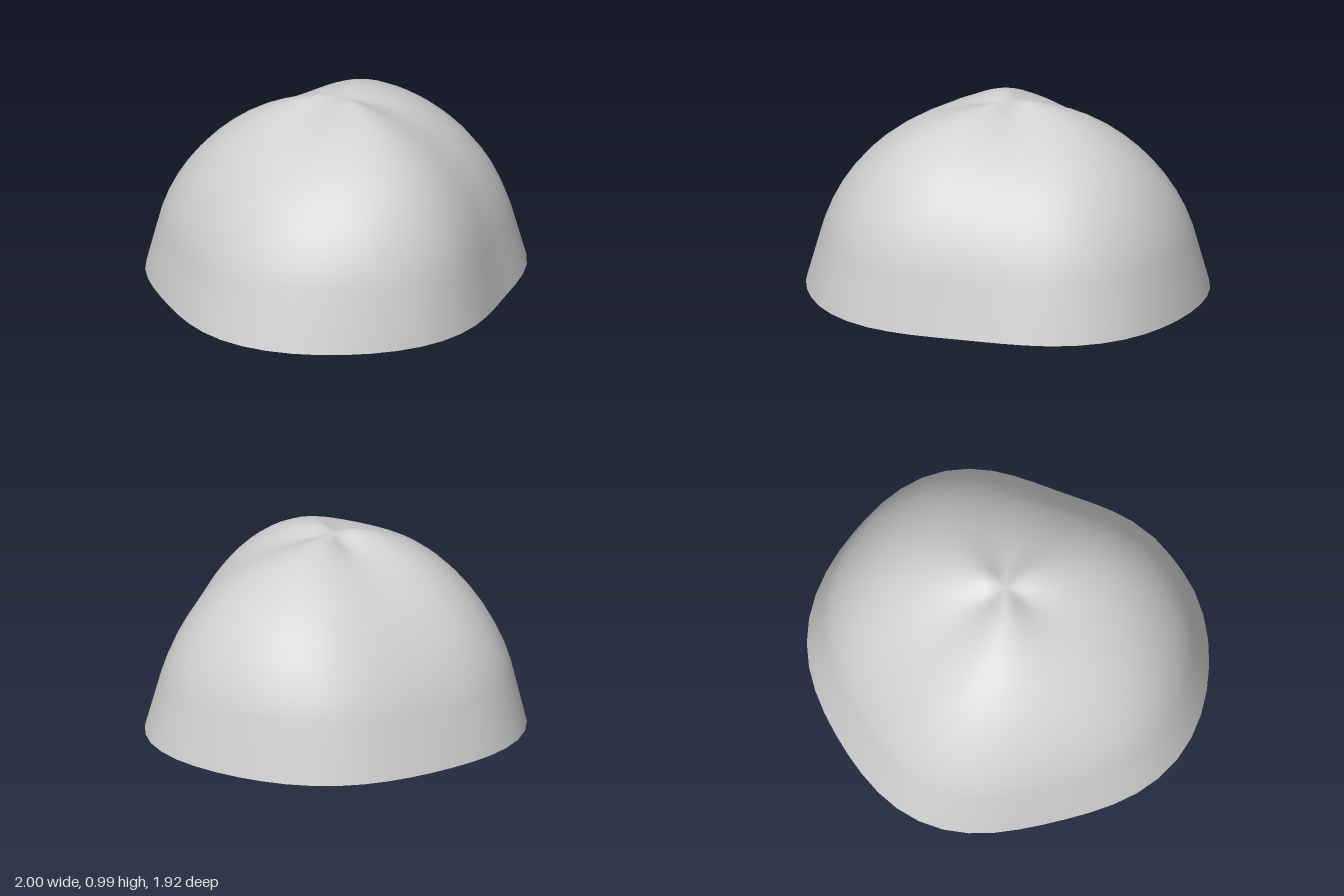
import * as THREE from 'three';

const SEGMENTS = 48;
const rad = THREE.MathUtils.degToRad;

// Distance from the centre for an angle around y and an elevation (radians).
// The three-lobed wave twists towards the pole; the other waves fade out there.
function radius(a, e) {
  const s = Math.sin(e), c = Math.cos(e);
  const mean = e === 0 ? 0.971 : 0.937 + 0.033 * s * s;
  if (e > 1.57) return mean;
  const twist = rad(-34) + rad(99) * e / (Math.PI / 2);
  return mean
    + (0.032 - 0.011 * s ** 4) * Math.cos(3 * a + twist)
    + 0.042 * c * Math.cos(2 * a + rad(55.5))
    + 0.006 * s * s * Math.cos(2 * a - rad(87))
    + 0.019 * c * c * Math.cos(5 * a - rad(137))
    + 0.011 * c * c * Math.cos(a - rad(218))
    + 0.016 * Math.sin(2 * e) ** 2 * Math.sin(a);
}

function point(a, e) {
  const r = radius(a, e);
  return [r * Math.cos(e) * Math.cos(a), r * Math.sin(e), r * Math.cos(e) * Math.sin(a)];
}

function makeGeometry(positions, index) {
  const g = new THREE.BufferGeometry();
  g.setAttribute('position', new THREE.Float32BufferAttribute(positions, 3));
  g.setIndex(index);
  g.computeVertexNormals();
  return g;
}

export function createModel() {
  const group = new THREE.Group();
  group.name = 'boulder';
  const stone = new THREE.MeshStandardMaterial({ color: 0xd1d1d1 });
  stone.name = 'pale stone grey';

  // Domed surface: rings from the ground up to a single pole vertex
  const elevations = [0];
  for (let d = 18; d <= 84; d += 6) elevations.push(rad(d));
  const positions = [], index = [];
  for (const e of elevations) {
    for (let i = 0; i < SEGMENTS; i++) positions.push(...point(i / SEGMENTS * Math.PI * 2, e));
  }
  const pole = positions.length / 3;
  positions.push(...point(0, Math.PI / 2));
  for (let j = 0; j < elevations.length; j++) {
    for (let i = 0; i < SEGMENTS; i++) {
      const a = j * SEGMENTS + i, b = j * SEGMENTS + (i + 1) % SEGMENTS;
      if (j === elevations.length - 1) index.push(a, pole, b);
      else index.push(a, a + SEGMENTS, b, b, a + SEGMENTS, b + SEGMENTS);
    }
  }
  const dome = new THREE.Mesh(makeGeometry(positions, index), stone);
  dome.name = 'dome';
  group.add(dome);

  // Flat underside
  const basePositions = [0, 0, 0], baseIndex = [];
  for (let i = 0; i < SEGMENTS; i++) {
    basePositions.push(...point(i / SEGMENTS * Math.PI * 2, 0));
    baseIndex.push(0, 1 + i, 1 + (i + 1) % SEGMENTS);
  }
  const base = new THREE.Mesh(makeGeometry(basePositions, baseIndex), stone);
  base.name = 'underside';
  group.add(base);

  return group;
}
